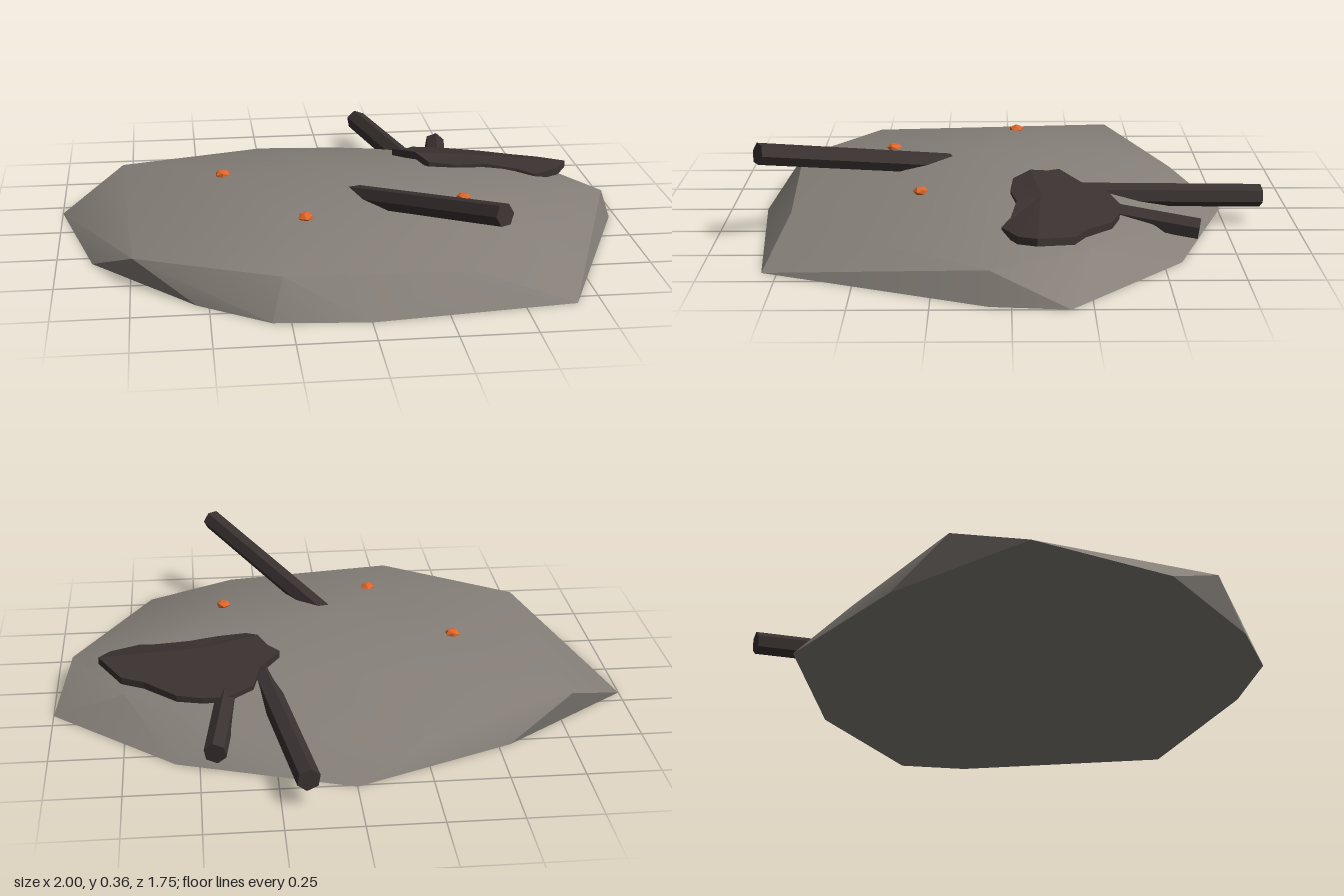
import * as THREE from 'three';
import { toCreasedNormals } from 'three/addons/utils/BufferGeometryUtils.js';
import { ConvexGeometry } from 'three/addons/geometries/ConvexGeometry.js';

const ash = new THREE.MeshStandardMaterial({ name: 'ash grey', color: 0x857f78 });
const char = new THREE.MeshStandardMaterial({ name: 'charred wood', color: 0x3a3231, flatShading: true });
const ember = new THREE.MeshStandardMaterial({ name: 'ember orange', color: 0xe0662a, flatShading: true });

function add(group, name, geometry, material) {
  const mesh = new THREE.Mesh(geometry, material);
  mesh.name = name;
  group.add(mesh);
  return mesh;
}

// Low irregular mound: foot, shoulder and crown points wrapped by a convex skin
function moundGeometry() {
  const foot = [[-1, -0.19], [-0.88, 0.3], [-0.54, 0.68], [-0.31, 0.84], [0, 0.87], [0.67, 0.8],
    [0.975, 0.07], [1, -0.18], [0.58, -0.56], [0, -0.76], [-0.54, -0.53]];
  const upper = [
    [-0.78, 0.11, -0.39], [-0.74, 0.1, 0.51], [-0.27, 0.125, 0.77], [0.35, 0.1, 0.74],
    [0.64, 0.1, 0.5], [0.94, 0.105, 0.07], [0.75, 0.11, -0.25], [0.45, 0.09, -0.48],
    [0.05, 0.08, -0.59], [-0.25, 0.085, -0.6],
    [-0.42, 0.185, -0.03], [-0.22, 0.19, 0.38], [0.3, 0.19, 0.35], [0.58, 0.18, 0.02],
    [0.25, 0.16, -0.3], [-0.2, 0.17, -0.3], [0, 0.225, 0.08],
  ];
  const points = foot.map(([x, z]) => new THREE.Vector3(x, 0, z));
  upper.forEach((p) => points.push(new THREE.Vector3(...p)));
  return toCreasedNormals(new ConvexGeometry(points), 0.5);
}

// Ragged crust draped over a gentle ridge, with a thin rim
function crustGeometry() {
  const outline = [[0.21, -0.17], [0.28, -0.24], [0.31, -0.33], [0.4, -0.37], [0.48, -0.36], [0.57, -0.33],
    [0.68, -0.24], [0.76, -0.2], [0.84, -0.08], [0.8, -0.02], [0.7, 0.03], [0.64, 0], [0.52, -0.02],
    [0.42, 0], [0.32, -0.01], [0.28, -0.07], [0.25, -0.13]];
  const place = (x, z, drop) => [x, 0.222 - 0.1 * (x - 0.35) - 0.25 * Math.abs(z + 0.07) - drop, z];
  const top = outline.map(([x, z]) => place(x, z, 0));
  const bottom = outline.map(([x, z]) => place(x, z, 0.025));
  const centre = place(0.48, -0.1, 0);
  const under = place(0.48, -0.1, 0.06);
  const corners = [];
  top.forEach((a, i) => {
    const j = (i + 1) % top.length;
    corners.push(centre, top[j], a);
    corners.push(a, top[j], bottom[j], a, bottom[j], bottom[i]);
    corners.push(under, bottom[i], bottom[j]);
  });
  const geometry = new THREE.BufferGeometry();
  geometry.setAttribute('position', new THREE.Float32BufferAttribute(corners.flat(), 3));
  geometry.computeVertexNormals();
  return geometry;
}

// Six-sided stick between two points
function addStick(group, name, from, to, radius) {
  const a = new THREE.Vector3(...from);
  const b = new THREE.Vector3(...to);
  const stick = add(group, name, new THREE.CylinderGeometry(radius, radius, a.distanceTo(b), 6), char);
  stick.position.copy(a).lerp(b, 0.5);
  stick.quaternion.setFromUnitVectors(new THREE.Vector3(0, 1, 0), b.sub(a).normalize());
}

export function createModel() {
  const group = new THREE.Group();
  group.name = 'ashMound';

  add(group, 'mound', moundGeometry(), ash);
  add(group, 'charredCrust', crustGeometry(), char);

  // Burnt sticks poking out of the ash
  addStick(group, 'frontStick', [-0.02, 0.16, 0.14], [0.415, 0.325, 0.835], 0.038);
  addStick(group, 'longBackStick', [0.275, 0.14, -0.2], [0.165, 0.1, -0.875], 0.04);
  addStick(group, 'shortBackStick', [0.395, 0.12, -0.29], [0.45, 0.072, -0.63], 0.039);

  // Glowing embers half sunk in the surface
  const embers = [[-0.42, 0.187, -0.03, 0.028], [-0.165, 0.185, 0.42, 0.029], [0.39, 0.188, 0.3, 0.026]];
  embers.forEach(([x, y, z, r], i) => {
    const mesh = add(group, 'ember' + (i + 1), new THREE.IcosahedronGeometry(r, 0), ember);
    mesh.position.set(x, y, z);
    mesh.scale.y = 0.6;
    mesh.rotation.y = i * 1.1;
  });

  return group;
}
